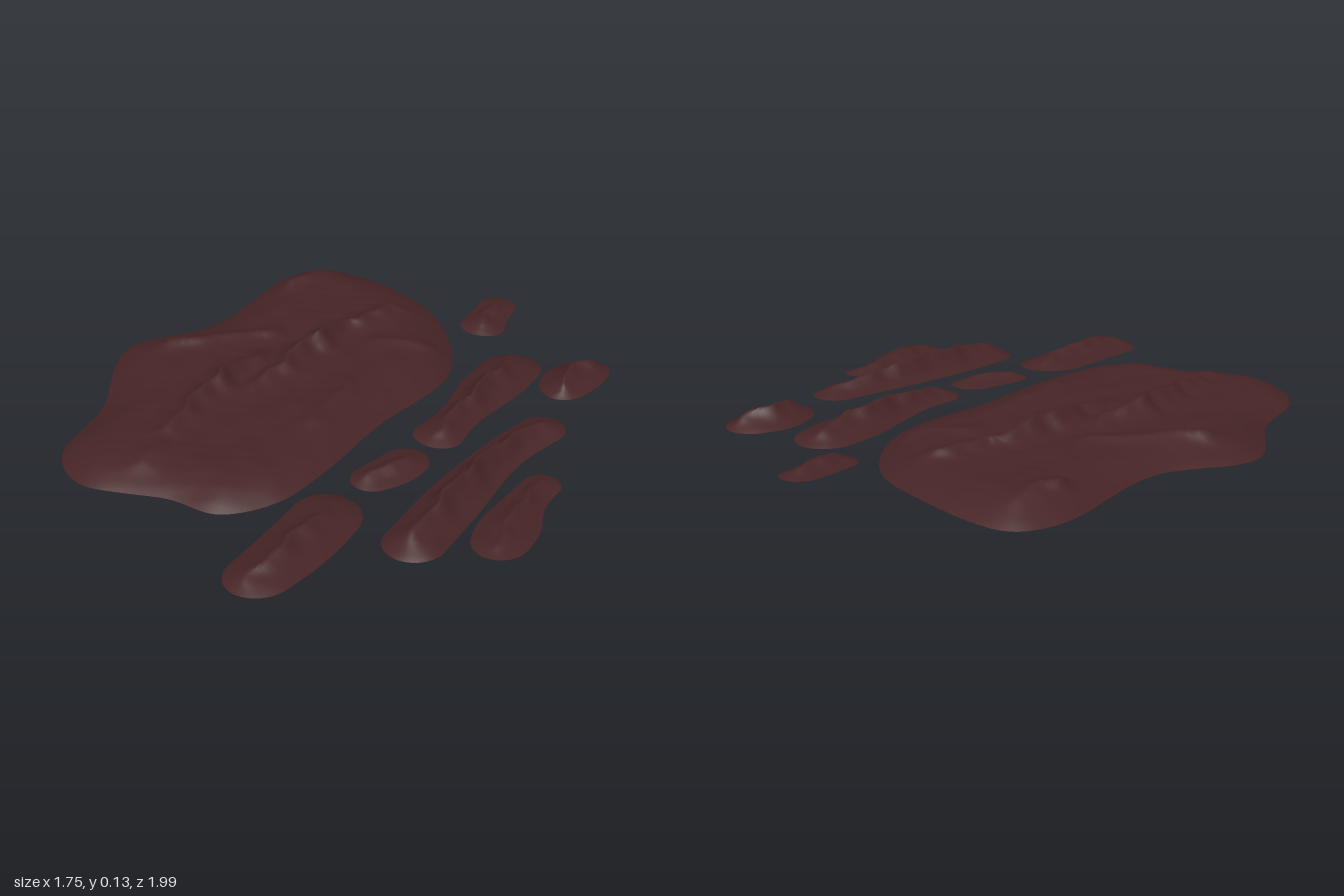
import * as THREE from 'three';

const { clamp, lerp } = THREE.MathUtils;

// Distance from a point to a segment, and how far along it the nearest point lies
function toSegment(x, z, a, b) {
  const dx = b[0] - a[0], dz = b[1] - a[1];
  const t = clamp(((x - a[0]) * dx + (z - a[1]) * dz) / (dx * dx + dz * dz), 0, 1);
  return { t, d: Math.hypot(x - a[0] - t * dx, z - a[1] - t * dz) };
}

// Small uneven bumps
const bumps = (x, z) => 0.0022 * Math.sin(13 * x + 5 * z) * Math.sin(11 * z - 4 * x + 1)
  + 0.0016 * Math.sin(31 * x - 12 * z) * Math.sin(27 * z + 9 * x)
  + 0.0007 * Math.sin(67 * x + 31 * z) * Math.sin(59 * z - 23 * x);

// Sheet of rings from the core line out to the rim, raised by a shore slope and crest lines of [x, z, height]
function buildIsland(name, material, { rim, core, ridges, rings, edge, rise, shore, width }) {
  const around = rim.length;

  function height(x, z) {
    let dEdge = Infinity;
    rim.forEach((p, i) => { dEdge = Math.min(dEdge, toSegment(x, z, p, rim[(i + 1) % around]).d); });
    const s = Math.min(1, dEdge / shore);
    const wx = x + 0.009 * Math.sin(29 * z) + 0.005 * Math.sin(61 * z + 2);
    let crest = 0;
    for (const line of ridges) {
      for (let i = 0; i + 1 < line.length; i++) {
        const { t, d } = toSegment(wx, z, line[i], line[i + 1]);
        crest = Math.max(crest, lerp(line[i][2], line[i + 1][2], t) * Math.exp(-Math.pow(d / width, 1.4)));
      }
    }
    const wobble = 0.008 * Math.sin(5 * x + 4 * z);
    return edge + wobble * (1 - s) + rise * (1 - (1 - s) ** 2) + crest * Math.min(1, s * 2) + bumps(x, z) * (0.3 + s);
  }

  const positions = [], index = [];
  for (let r = 0; r <= rings; r++) {
    rim.forEach((p, i) => {
      const x = lerp(core[i][0], p[0], r / rings), z = lerp(core[i][1], p[1], r / rings);
      positions.push(x, height(x, z), z);
    });
  }
  for (let r = 0; r < rings; r++) {
    for (let i = 0; i < around; i++) {
      const a = r * around + i, b = r * around + (i + 1) % around;
      index.push(a, b + around, a + around, a, b, b + around);
    }
  }
  const geometry = new THREE.BufferGeometry();
  geometry.setAttribute('position', new THREE.Float32BufferAttribute(positions, 3));
  geometry.setIndex(index);
  geometry.computeVertexNormals();
  const mesh = new THREE.Mesh(geometry, material);
  mesh.name = name;
  return mesh;
}

// Broad island inside a smooth closed outline
function buildMainIsland(material) {
  const outline = [[-0.62, -0.88], [-0.15, -0.81], [0.07, -0.63], [0.185, -0.4], [0.155, 0], [0.155, 0.33],
    [0.12, 0.55], [0, 0.7], [-0.17, 0.72], [-0.46, 0.8], [-0.63, 0.68], [-0.7, 0.4], [-0.87, 0.03],
    [-0.71, -0.27], [-0.71, -0.75]];
  const curve = new THREE.CatmullRomCurve3(outline.map(([x, z]) => new THREE.Vector3(x, 0, z)), true);
  const rim = curve.getSpacedPoints(240).slice(0, 240).map((p) => [p.x, p.z]);
  const core = rim.map(([, z]) => [-0.3, clamp(z, -0.45, 0.4)]);
  const ridges = [
    [[-0.38, -0.08, 0.02], [-0.4, 0.12, 0.065], [-0.38, 0.36, 0.035], [-0.33, 0.64, 0.01]],
    [[-0.25, -0.46, 0.03], [-0.27, -0.27, 0.068], [-0.28, 0.1, 0.02]],
    [[-0.17, -0.64, 0.025], [-0.25, -0.44, 0.03]],
    [[-0.46, -0.24, 0.02], [-0.7, 0, 0.03]],
    [[-0.58, -0.76, 0.01], [-0.6, -0.62, 0.03]],
    [[0.06, -0.5, 0.02], [-0.08, -0.41, 0.015]],
    [[-0.02, -0.1, 0.015], [-0.01, 0.17, 0.012]],
  ];
  return buildIsland('mainIsland', material,
    { rim, core, ridges, rings: 56, edge: 0.02, rise: 0.055, shore: 0.2, width: 0.04 });
}

// Narrow islet with round ends along a path of [x, z, half width], its crest following the path
function buildIslet(name, material, path, edge, rise, peak) {
  const curve = new THREE.CatmullRomCurve3(path.map(([x, z, w]) => new THREE.Vector3(x, w, z)));
  const length = curve.getLength(), steps = 48;
  const rim = [], core = [];
  for (let i = 0; i < steps * 2; i++) {
    const t = (1 - Math.cos(Math.PI * i / steps)) / 2;
    const side = i < steps ? 1 : -1;
    const p = curve.getPointAt(t), tangent = curve.getTangentAt(t);
    const fromEnd = Math.min(1, Math.min(t, 1 - t) * length / p.y);
    const w = side * p.y * Math.sqrt(1 - (1 - fromEnd) ** 2);
    core.push([p.x, p.z]);
    rim.push([p.x + tangent.z * w, p.z - tangent.x * w]);
  }
  const crest = [0.1, 0.3, 0.5, 0.7, 0.9].map((t) => {
    const p = curve.getPointAt(t);
    return [p.x, p.z, peak * Math.sin(Math.PI * t)];
  });
  return buildIsland(name, material,
    { rim, core, ridges: [crest], rings: 18, edge, rise, shore: 0.1, width: 0.03 });
}

export function createModel() {
  const group = new THREE.Group();
  group.name = 'islands';
  const rock = new THREE.MeshStandardMaterial({ color: 0x462425, side: THREE.DoubleSide });
  rock.name = 'dark red rock';
  const addIslet = (name, ...shape) => group.add(buildIslet(name, rock, ...shape));

  group.add(buildMainIsland(rock));
  addIslet('backIslet', [[0.1, -1, 0.07], [0.11, -0.86, 0.07], [0.14, -0.71, 0.1]], 0.035, 0.015, 0.018);
  addIslet('innerRidgeIslet',
    [[0.34, -0.69, 0.1], [0.345, -0.45, 0.11], [0.35, -0.17, 0.075], [0.35, 0.03, 0.1]], 0.018, 0.022, 0.045);
  addIslet('outerBackIslet', [[0.61, -0.76, 0.07], [0.57, -0.6, 0.1], [0.58, -0.44, 0.07]], 0.03, 0.025, 0.035);
  addIslet('longRidgeIslet',
    [[0.64, -0.33, 0.08], [0.58, -0.05, 0.075], [0.57, 0.25, 0.095], [0.58, 0.6, 0.1]], 0.022, 0.025, 0.055);
  addIslet('outerIslet',
    [[0.77, 0.46 - 0.49, 0.06], [0.76, 0.12, 0.065], [0.78, 0.28, 0.095], [0.81, 0.46, 0.08]], 0.025, 0.012, 0.02);
  addIslet('smallIslet', [[0.35, 0.07, 0.07], [0.33, 0.2, 0.08], [0.27, 0.35, 0.06]], 0.02, 0.018, 0.018);
  addIslet('frontIslet', [[0.28, 0.42, 0.11], [0.29, 0.7, 0.115], [0.27, 0.99, 0.1]], 0.025, 0.02, 0.028);
  return group;
}
